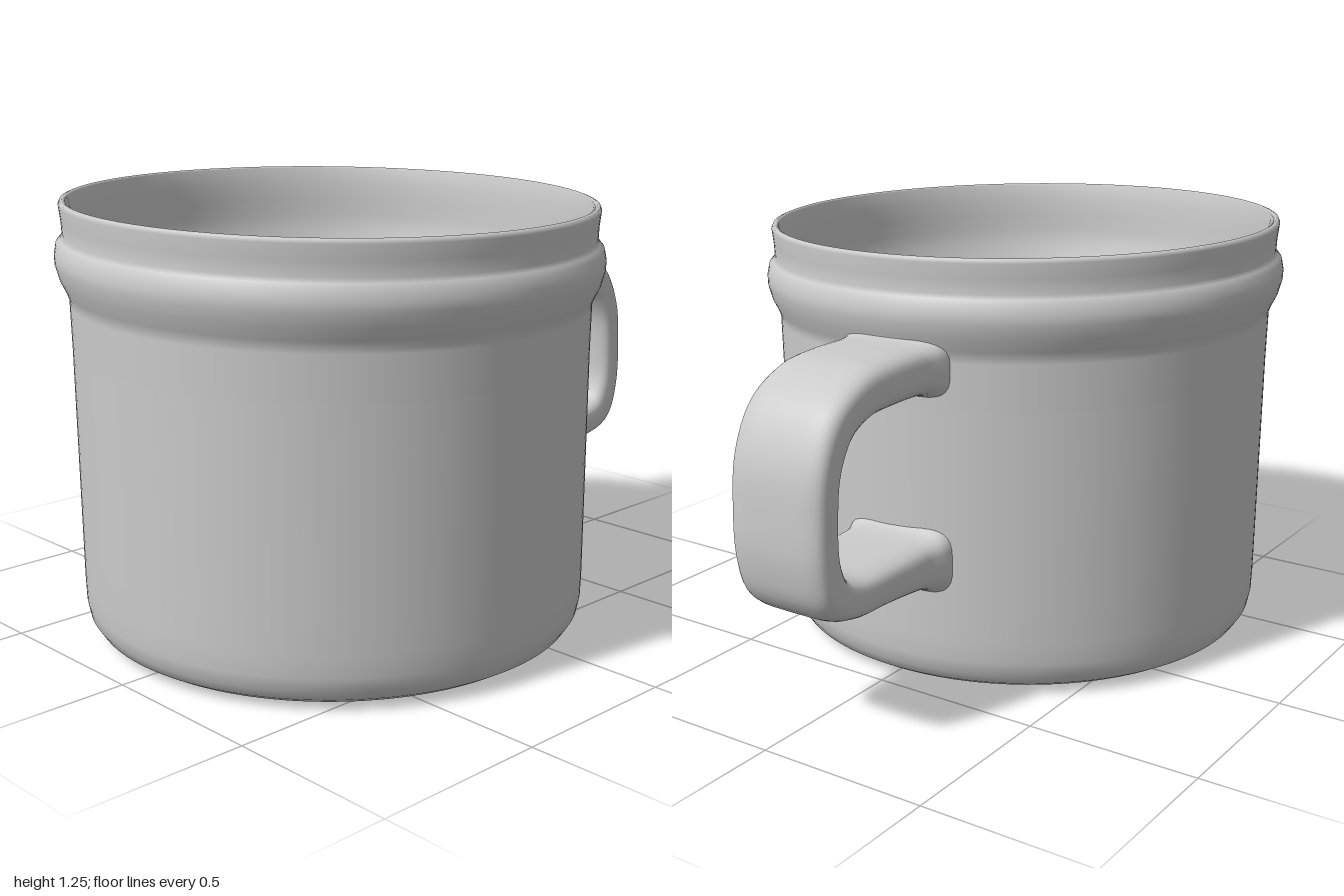
import * as THREE from 'three';
import { mergeVertices } from 'three/addons/utils/BufferGeometryUtils.js';

const CENTER_Z = 0.236;
const HANDLE_X = -0.045;
const material = new THREE.MeshStandardMaterial({ color: 0xcccccc });

// Weld the seams and compute smooth normals
function smooth(geometry) {
  geometry.deleteAttribute('uv');
  geometry.deleteAttribute('normal');
  const welded = mergeVertices(geometry, 1e-5);
  welded.computeVertexNormals();
  return welded;
}

// Split the long wall into short steps so it can be dented
function wall(r0, y0, r1, y1, steps) {
  const points = [];
  for (let i = 0; i <= steps; i++) {
    const t = i / steps;
    points.push([r0 + (r1 - r0) * t, y0 + (y1 - y0) * t]);
  }
  return points;
}

function createBody() {
  const profile = [
    // underside and rounded foot
    [0, 0], [0.63, 0], [0.67, 0.012], [0.7, 0.03], [0.72, 0.06], [0.728, 0.1],
    // outer wall
    ...wall(0.73, 0.16, 0.735, 0.8, 6), ...wall(0.735, 0.815, 0.738, 0.965, 11),
    // raised band
    [0.745, 0.985], [0.762, 1.02], [0.773, 1.06], [0.774, 1.085], [0.768, 1.115], [0.757, 1.128], [0.75, 1.14],
    // rim
    [0.752, 1.18], [0.757, 1.222], [0.753, 1.232], [0.745, 1.235], [0.737, 1.23],
    // inner side of the rim and band
    [0.731, 1.18], [0.727, 1.13], [0.728, 1.08], [0.722, 1.03], [0.708, 0.99],
    // inner wall and floor
    ...wall(0.702, 0.965, 0.7, 0.815, 11), ...wall(0.7, 0.75, 0.698, 0.14, 6),
    [0.69, 0.09], [0.665, 0.062], [0.62, 0.05], [0, 0.05],
  ].map(([r, y]) => new THREE.Vector2(r, y));
  const geometry = new THREE.LatheGeometry(profile, 160);
  const pos = geometry.attributes.position;
  for (let i = 0; i < pos.count; i++) {
    const x = pos.getX(i);
    let y = pos.getY(i);
    let z = pos.getZ(i) * 0.988;
    // opening of the hollow handle in the back wall
    const d = Math.hypot((x - HANDLE_X) / 0.105, (y - 0.93) / 0.055);
    if (z < -0.6 && d < 1) z -= 0.16 * THREE.MathUtils.smoothstep(1 - d, 0, 0.5);
    // the hand-formed rim leans slightly
    y -= 0.021 * x * THREE.MathUtils.smoothstep(y, 0.5, 1.05);
    pos.setXYZ(i, x, y, z);
  }
  const mesh = new THREE.Mesh(smooth(geometry), material);
  mesh.name = 'cupBody';
  mesh.position.z = CENTER_Z;
  return mesh;
}

function createHandle() {
  // centre line as z, y and half thickness
  const stations = [
    [-0.452, 0.94, 0.095], [-0.5, 0.94, 0.077], [-0.55, 0.94, 0.07], [-0.66, 0.94, 0.069],
    [-0.77, 0.93, 0.067], [-0.87, 0.88, 0.062], [-0.929, 0.78, 0.056], [-0.946, 0.65, 0.053],
    [-0.941, 0.52, 0.054], [-0.905, 0.435, 0.062], [-0.83, 0.405, 0.06], [-0.7, 0.399, 0.061],
    [-0.56, 0.393, 0.068], [-0.5, 0.39, 0.08], [-0.452, 0.39, 0.105],
  ];
  const path = new THREE.CatmullRomCurve3(stations.map(([z, y]) => new THREE.Vector3(0, y, z)));
  const sizes = new THREE.SplineCurve(stations.map(([, , h], i) => new THREE.Vector2(i, h)));
  const rings = 84, sides = 32;
  const positions = [], indices = [];
  for (let i = 0; i <= rings; i++) {
    const t = i / rings;
    const p = path.getPoint(t);
    const tangent = path.getTangent(t);
    const half = sizes.getPoint(t).y;
    const flare = 0.02 * THREE.MathUtils.smoothstep(p.z, -0.54, -0.45);
    const halfWidth = 0.152 + flare;
    const shift = HANDLE_X - 0.012 * (-p.z - 0.45);
    for (let j = 0; j < sides; j++) {
      // rounded rectangle section
      const a = (j / sides) * Math.PI * 2;
      const c = Math.cos(a), s = Math.sin(a);
      const u = Math.sign(c) * Math.abs(c) ** 0.45 * halfWidth;
      const v = Math.sign(s) * Math.abs(s) ** 0.6 * half;
      positions.push(shift + u, p.y - tangent.z * v, p.z + tangent.y * v);
    }
  }
  for (let i = 0; i < rings; i++) {
    for (let j = 0; j < sides; j++) {
      const a = i * sides + j, b = i * sides + (j + 1) % sides;
      indices.push(a, a + sides, b, b, a + sides, b + sides);
    }
  }
  const geometry = new THREE.BufferGeometry();
  geometry.setAttribute('position', new THREE.Float32BufferAttribute(positions, 3));
  geometry.setIndex(indices);
  geometry.computeVertexNormals();
  const handleMaterial = material.clone();
  handleMaterial.side = THREE.DoubleSide;
  const mesh = new THREE.Mesh(geometry, handleMaterial);
  mesh.name = 'handle';
  return mesh;
}

export function createModel() {
  const group = new THREE.Group();
  group.name = 'cup';
  group.add(createBody(), createHandle());
  return group;
}
